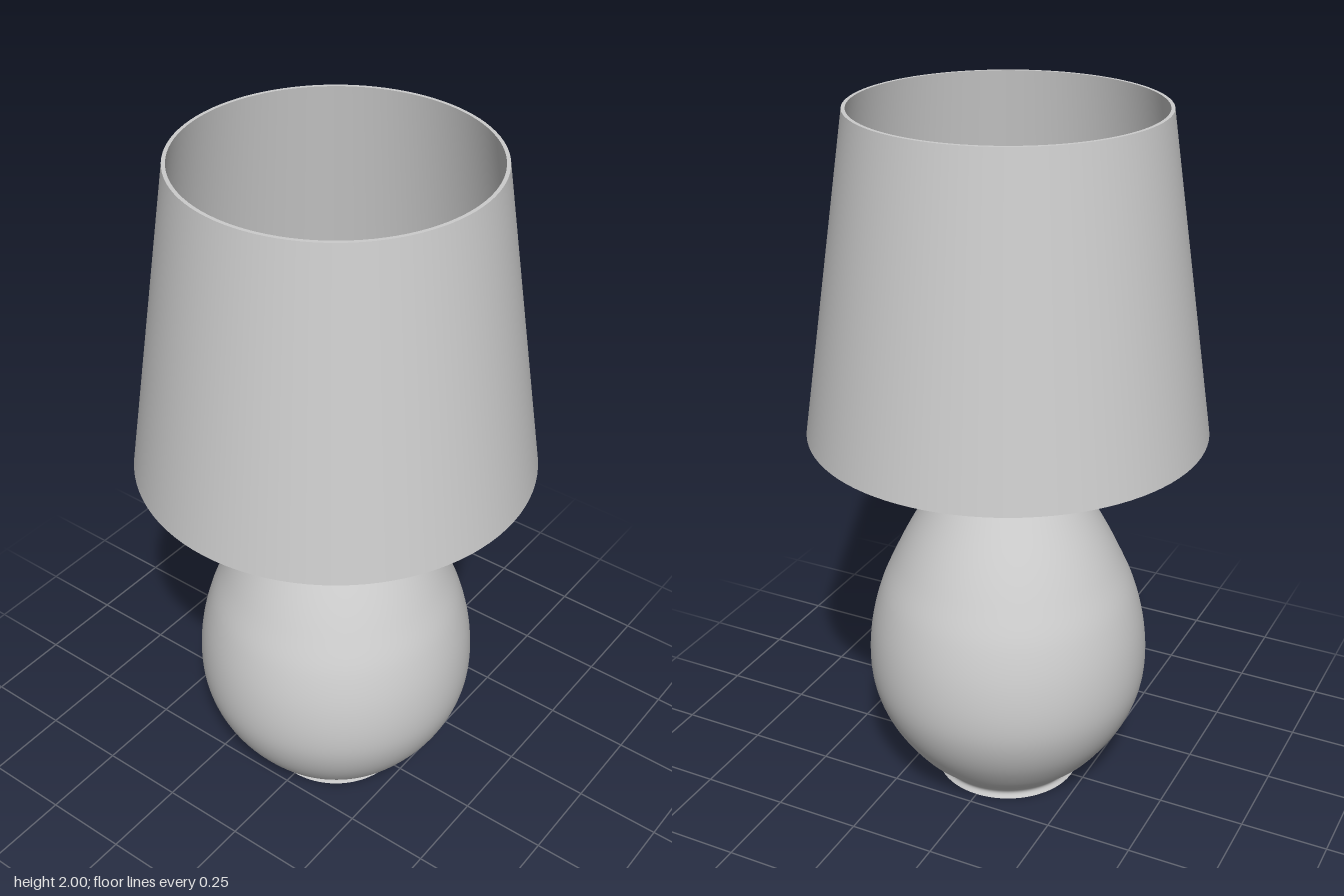
import * as THREE from 'three';

const grey = new THREE.MeshStandardMaterial({ color: 0xcccccc, side: THREE.DoubleSide });
grey.name = 'plain grey';

const SEGMENTS = 96;
const points = (list) => list.map(([r, y]) => new THREE.Vector2(r, y));
const smooth = (list, n) => new THREE.SplineCurve(points(list)).getPoints(n);

export function createModel() {
  const model = new THREE.Group();
  model.name = 'tableLamp';
  const add = (name, geometry, y = 0) => {
    const mesh = new THREE.Mesh(geometry, grey);
    mesh.name = name;
    mesh.position.y = y;
    model.add(mesh);
    return mesh;
  };

  // Hollow pear-shaped body, open underneath, with a small foot and a flared lip
  const body = smooth([
    [0.212, 0], [0.207, 0.02], [0.232, 0.05], [0.29, 0.105], [0.355, 0.2],
    [0.393, 0.295], [0.405, 0.39], [0.396, 0.5], [0.368, 0.61], [0.325, 0.71],
    [0.28, 0.8], [0.22, 0.905], [0.16, 1.005], [0.107, 1.09], [0.098, 1.12],
    [0.13, 1.15],
  ], 90);
  add('body', new THREE.LatheGeometry(body, SEGMENTS));

  // Rounded collar closing the lip around the stem
  const collar = smooth([[0.13, 1.15], [0.133, 1.158], [0.126, 1.167], [0.05, 1.17]], 12);
  add('collar', new THREE.LatheGeometry(collar, SEGMENTS));

  // Stem and round bulb
  add('stem', new THREE.CylinderGeometry(0.05, 0.05, 0.32, 48, 1, true), 1.32);
  add('bulb', new THREE.SphereGeometry(0.15, 64, 40), 1.6);

  // Tapered shade with thin walls, each surface separate so the rims stay sharp
  const rimBottom = 1.115, rimTop = 2, height = rimTop - rimBottom;
  const middle = (rimTop + rimBottom) / 2;
  add('shadeOuter', new THREE.CylinderGeometry(0.42, 0.553, height, SEGMENTS, 1, true), middle);
  add('shadeInner', new THREE.CylinderGeometry(0.41, 0.543, height, SEGMENTS, 1, true), middle);
  for (const [name, inner, outer, y, turn] of [
    ['shadeTopRim', 0.41, 0.42, rimTop, -1],
    ['shadeBottomRim', 0.543, 0.553, rimBottom, 1],
  ]) {
    add(name, new THREE.RingGeometry(inner, outer, SEGMENTS), y).rotation.x = turn * Math.PI / 2;
  }

  return model;
}
